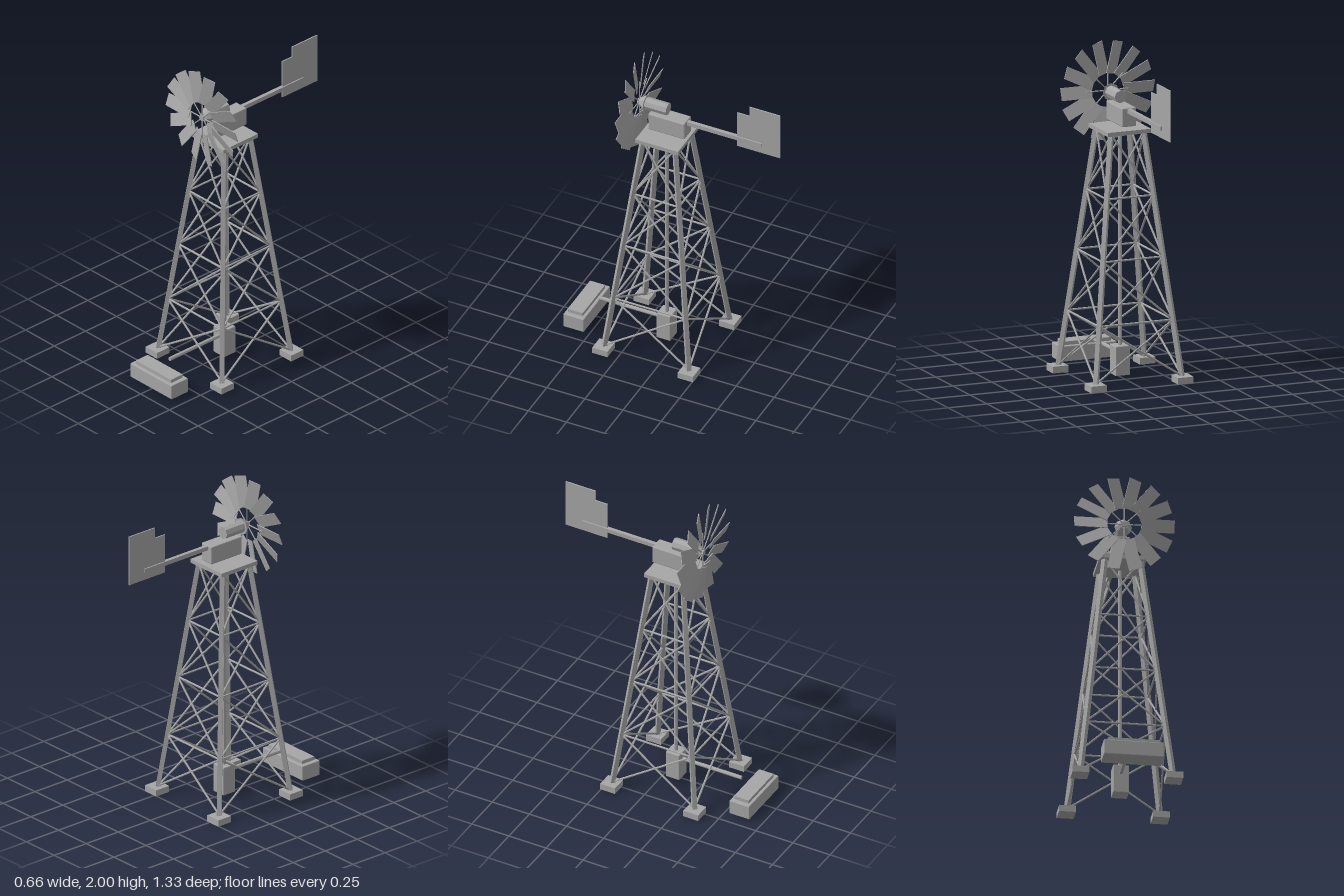
import * as THREE from 'three';
import { RoundedBoxGeometry } from 'three/addons/geometries/RoundedBoxGeometry.js';

export function createModel() {
  const model = new THREE.Group();
  model.name = 'windpump';
  const steel = new THREE.MeshStandardMaterial({ color: 0xa6a6a6, flatShading: true });
  steel.name = 'galvanised steel';
  const CZ = 0.075; // tower axis

  function add(name, geometry, x = 0, y = 0, z = 0, parent = model) {
    const mesh = new THREE.Mesh(geometry, steel);
    mesh.name = name;
    mesh.position.set(x, y, z);
    parent.add(mesh);
    return mesh;
  }
  function group(name) {
    const g = new THREE.Group();
    g.name = name;
    model.add(g);
    return g;
  }
  // box spanning y0..y1 and z0..z1, centred on x = 0
  function block(name, w, y0, y1, z0, z1, bevel = 0) {
    const h = y1 - y0, d = z1 - z0;
    const geo = bevel ? new RoundedBoxGeometry(w, h, d, 1, bevel) : new THREE.BoxGeometry(w, h, d);
    return add(name, geo, 0, (y0 + y1) / 2, (z0 + z1) / 2);
  }
  // straight bar between two points; round when sides are given, else square
  function bar(name, a, b, size, sides, parent) {
    const len = a.distanceTo(b);
    const geo = sides
      ? new THREE.CylinderGeometry(size / 2, size / 2, len, sides).rotateX(Math.PI / 2)
      : new THREE.BoxGeometry(size, size, len);
    const mesh = add(name, geo, 0, 0, 0, parent);
    mesh.position.copy(a).add(b).multiplyScalar(0.5);
    mesh.lookAt(b);
    return mesh;
  }

  // tower: half-width tapers linearly with height
  const BASE = 0.04, TOP = 1.5;
  const half = (y) => THREE.MathUtils.mapLinear(y, BASE, TOP, 0.276, 0.106);
  const signs = [[1, 1], [1, -1], [-1, -1], [-1, 1]];
  const corner = (i, y) => {
    const [sx, sz] = signs[i % 4];
    return new THREE.Vector3(sx * half(y), y, CZ + sz * half(y));
  };
  const tower = group('tower');
  const levels = [BASE, 0.375, 0.752, 1.12, TOP];
  for (let i = 0; i < 4; i++) {
    const [sx, sz] = signs[i];
    add('footing', new THREE.BoxGeometry(0.1, 0.04, 0.1), sx * 0.28, 0.02, CZ + sz * 0.28, tower);
    bar('leg', corner(i, 0.02), corner(i, TOP), 0.028, 0, tower);
    for (let k = 0; k < 4; k++) {
      const lo = levels[k], hi = levels[k + 1];
      bar('diagonalBrace', corner(i, lo), corner(i + 1, hi), 0.013, 6, tower);
      bar('diagonalBrace', corner(i + 1, lo), corner(i, hi), 0.013, 6, tower);
      if (k) bar('girt', corner(i, lo), corner(i + 1, lo), 0.013, 6, tower);
    }
  }
  block('platform', 0.28, 1.495, 1.52, -0.065, 0.215);

  // pump, drop pipe, spout and trough
  const V = (x, y, z) => new THREE.Vector3(x, y, z);
  bar('dropPipe', V(0, 0.17, CZ), V(0, 1.475, CZ), 0.024, 8, model);
  block('pump', 0.095, 0.015, 0.195, 0.03, 0.122, 0.005);
  bar('spout', V(0, 0.145, 0.11), V(0, 0.145, 0.517), 0.024, 8, model);
  block('trough', 0.36, 0.005, 0.1, 0.533, 0.667, 0.005);
  block('troughLid', 0.305, 0.095, 0.122, 0.553, 0.648);

  // gearbox, shaft housing and hub
  block('gearbox', 0.092, 1.544, 1.658, -0.062, 0.176, 0.006);
  const HY = 1.698, WZ = 0.258;
  bar('shaftHousing', V(0, HY, 0.065), V(0, HY, 0.22), 0.077, 8, model);
  add('hub', new THREE.CylinderGeometry(0.025, 0.053, 0.04, 8).rotateX(Math.PI / 2), 0, HY, 0.228);
  bar('hubBoss', V(0, HY, 0.24), V(0, HY, 0.264), 0.036, 8, model);

  // wheel: pitched blades on thin spokes
  const wheel = group('wheel');
  wheel.position.set(0, HY, WZ);
  const BLADES = 14;
  for (let i = 0; i < BLADES; i++) {
    const arm = new THREE.Group();
    arm.name = 'bladeArm';
    arm.rotation.z = (i / BLADES) * Math.PI * 2;
    wheel.add(arm);
    add('blade', new THREE.BoxGeometry(0.198, 0.078, 0.005), 0.2, 0, 0, arm).rotation.x = 0.35;
  }
  for (let i = 0; i < 8; i++) {
    const spoke = add('spoke', new THREE.CylinderGeometry(0.004, 0.004, 0.14, 6).translate(0, 0.07, 0), 0, 0, -0.004, wheel);
    spoke.rotation.z = (i / 8) * Math.PI * 2;
  }

  // tail boom and stepped vane
  block('tailBoom', 0.024, 1.627, 1.653, -0.55, -0.05);
  const outline = [[0.387, 1.58], [0.667, 1.58], [0.667, 1.893], [0.467, 1.893], [0.467, 1.825], [0.387, 1.825]];
  const vane = new THREE.ExtrudeGeometry(
    new THREE.Shape(outline.map(([u, v]) => new THREE.Vector2(u, v))),
    { depth: 0.008, bevelEnabled: false }
  );
  add('tailVane', vane.translate(0, 0, -0.004).rotateY(Math.PI / 2));

  return model;
}
